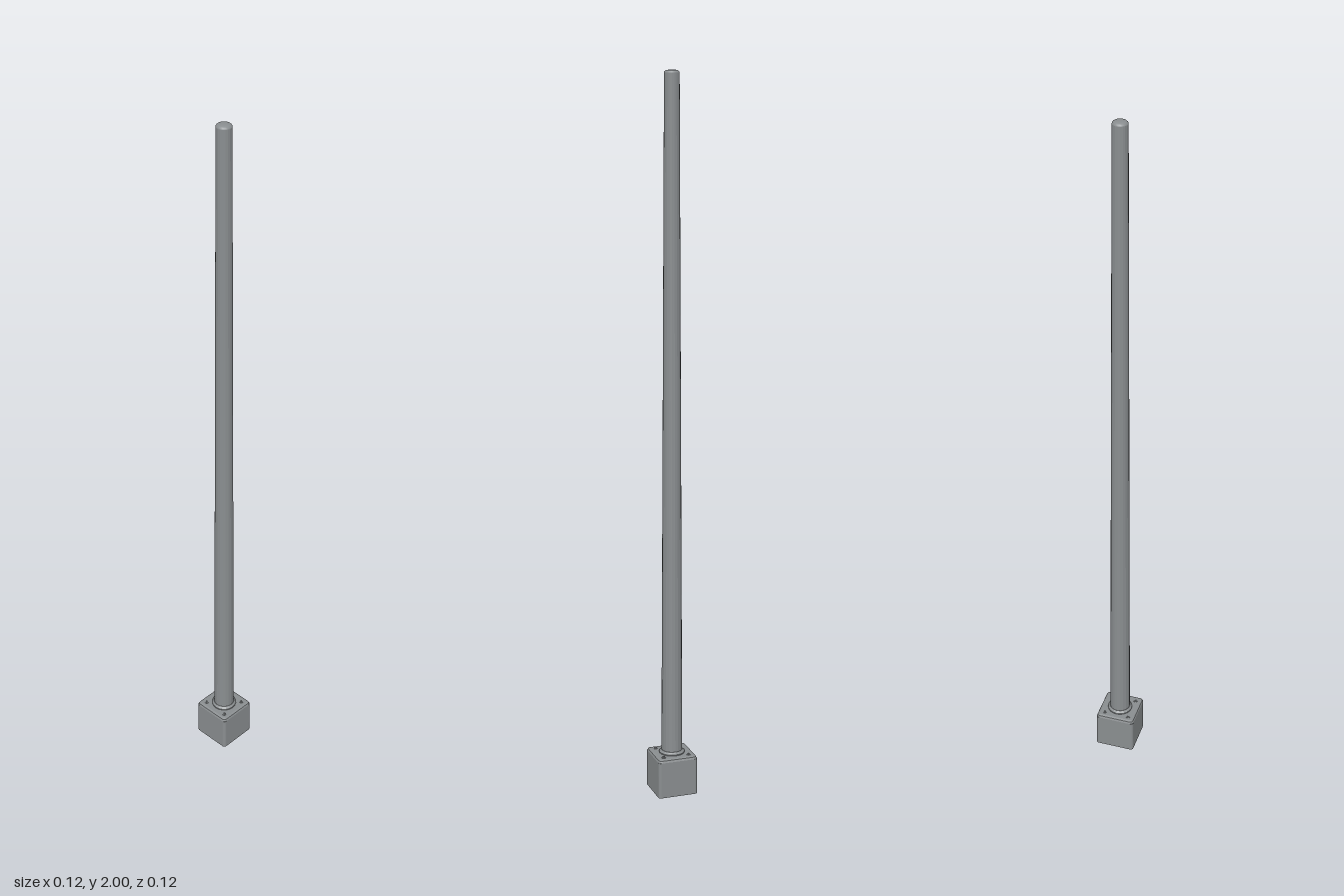
import * as THREE from 'three';

export function createModel() {
  const group = new THREE.Group();
  group.name = 'lampPole';
  const metal = new THREE.MeshStandardMaterial({ color: 0x8a8e90 });
  metal.name = 'grey metal';
  const facetedMetal = metal;

  const add = (name, geometry, x = 0, y = 0, z = 0) => {
    const mesh = new THREE.Mesh(geometry, facetedMetal);
    mesh.name = name;
    mesh.position.set(x, y, z);
    group.add(mesh);
    return mesh;
  };

  // Faceted solid of revolution from [radius, height] points
  const turned = (points, sides) => {
    const geometry = new THREE.LatheGeometry(points.map(([r, y]) => new THREE.Vector2(r, y)), sides).toNonIndexed();
    geometry.computeVertexNormals();
    return geometry;
  };

  const roundedSquare = (half, r) => {
    const s = new THREE.Shape();
    const c = half - r;
    s.absarc(c, c, r, 0, Math.PI / 2);
    s.absarc(-c, c, r, Math.PI / 2, Math.PI);
    s.absarc(-c, -c, r, Math.PI, Math.PI * 1.5);
    s.absarc(c, -c, r, Math.PI * 1.5, Math.PI * 2);
    return s;
  };

  // Square foot block with rounded upright edges
  const foot = new THREE.ExtrudeGeometry(roundedSquare(0.0575, 0.008), { depth: 0.104, bevelEnabled: false, curveSegments: 4 });
  foot.rotateX(-Math.PI / 2);
  add('footBlock', foot);

  // Chamfered shoulder on top of the foot
  const shoulder = new THREE.ExtrudeGeometry(roundedSquare(0.0495, 0.004), {
    depth: 0.001, bevelThickness: 0.008, bevelSize: 0.008, bevelSegments: 2, curveSegments: 4,
  });
  shoulder.rotateX(-Math.PI / 2);
  add('footShoulder', shoulder, 0, 0.103, 0);

  // Four corner bolts with a washer and a hexagonal head
  for (const x of [-0.037, 0.037]) {
    for (const z of [-0.037, 0.037]) {
      add('boltWasher', new THREE.CylinderGeometry(0.006, 0.006, 0.002, 12), x, 0.1125, z);
      add('boltHead', new THREE.CylinderGeometry(0.003, 0.003, 0.003, 6), x, 0.1145, z);
    }
  }

  // Collar where the pole meets the foot
  add('collar', turned([[0, 0.11], [0.036, 0.11], [0.036, 0.115], [0.03, 0.121], [0, 0.121]], 20));

  // Long tapering pole
  add('pole', turned([[0.0295, 0.115], [0.0205, 1.992]], 20));

  // Shallow domed cap
  add('cap', new THREE.LatheGeometry(
    [[0.0205, 1.992], [0.0195, 1.995], [0.016, 1.998], [0.009, 1.9995], [0, 2]].map(([r, y]) => new THREE.Vector2(r, y)), 20));

  return group;
}
